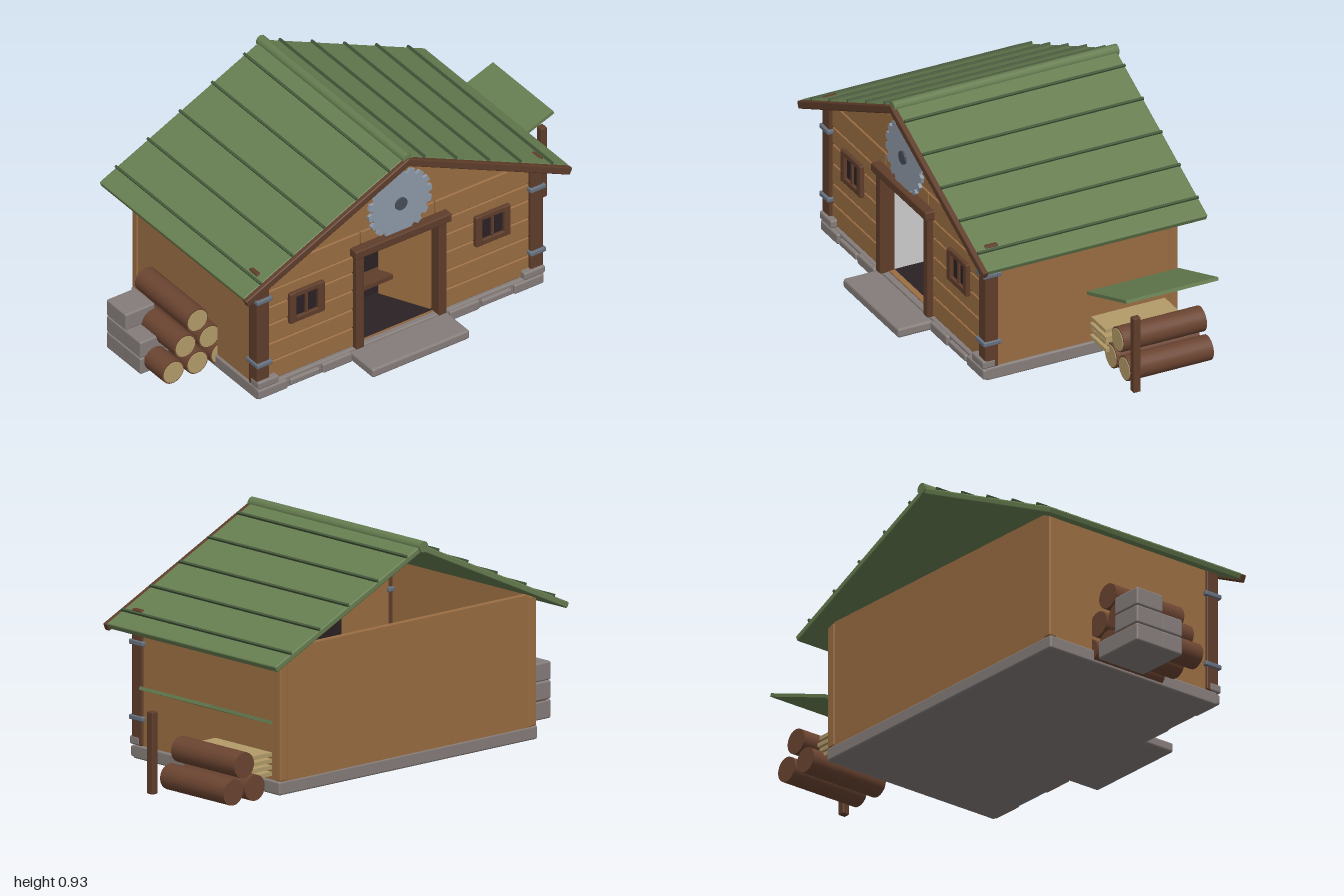
import * as THREE from 'three';
import { RoundedBoxGeometry } from 'three/addons/geometries/RoundedBoxGeometry.js';

const mat = (color) => new THREE.MeshStandardMaterial({ color, side: THREE.DoubleSide });
const M = {
  wall: mat(0x9a6d42), beam: mat(0x5f3d2a), roof: mat(0x667d50), batten: mat(0x45583a),
  stone: mat(0x857d7a), metal: mat(0x66707e), blade: mat(0x8e99a8), hub: mat(0x484c56),
  dark: mat(0x2b2124), bark: mat(0x6b4431), cut: mat(0xb39c69), pale: mat(0xcccccc),
};
const CX = -0.045; // centre line of the cabin

export function createModel() {
  const model = new THREE.Group();

  const add = (parent, name, geometry, material, x = 0, y = 0, z = 0) => {
    const mesh = new THREE.Mesh(geometry, material);
    mesh.name = name;
    mesh.position.set(x, y, z);
    parent.add(mesh);
    return mesh;
  };
  // Box given by its limits on each axis, optionally with rounded edges
  const span = (name, material, x0, x1, y0, y1, z0, z1, r = 0, parent = model) => {
    const s = [x1 - x0, y1 - y0, z1 - z0];
    const geo = r ? new RoundedBoxGeometry(...s, 2, r) : new THREE.BoxGeometry(...s);
    return add(parent, name, geo, material, (x0 + x1) / 2, (y0 + y1) / 2, (z0 + z1) / 2);
  };

  // Foundation, front stones and door step
  span('foundation', M.stone, -0.73, 0.64, 0, 0.055, -0.455, 0.39, 0.008);
  for (const s of [-1, 1]) {
    for (let i = 0; i < 3; i++) {
      const c = CX + s * (0.305 + i * 0.154);
      span('foundationStone', M.stone, c - 0.071, c + 0.071, i % 2 ? 0.012 : 0.006, i % 2 ? 0.042 : 0.05, 0.36, 0.404, 0.008);
    }
    const c = CX + s * 0.637;
    span('cornerStone', M.stone, c - 0.05, c + 0.05, 0.055, 0.09, 0.35, 0.407, 0.008);
  }
  span('doorStep', M.stone, -0.28, 0.185, 0.004, 0.045, 0.38, 0.54, 0.01);
  span('floor', M.dark, -0.7, 0.61, 0.05, 0.06, -0.43, 0.36);

  // Side and back walls
  for (const s of [-1, 1]) {
    const c = CX + s * 0.66;
    span('sideWall', M.wall, c - 0.015, c + 0.015, 0.05, 0.585, -0.45, 0.36);
    span('backCornerTrim', M.wall, c - 0.02, c + 0.02, 0.055, 0.58, -0.455, -0.42, 0.006);
  }
  span('backWall', M.wall, -0.7, 0.61, 0.05, 0.585, -0.452, -0.425);

  // Front wall with door opening and gable
  const front = new THREE.Shape([
    [-0.71, 0.05], [0.62, 0.05], [0.62, 0.58], [CX, 0.825], [-0.71, 0.58],
  ].map(([x, y]) => new THREE.Vector2(x, y)));
  front.holes.push(new THREE.Path([
    [-0.23, 0.06], [-0.23, 0.495], [0.14, 0.495], [0.14, 0.06],
  ].map(([x, y]) => new THREE.Vector2(x, y))));
  add(model, 'frontWall', new THREE.ExtrudeGeometry(front, { depth: 0.025, bevelEnabled: false }), M.wall, 0, 0, 0.34);

  // Horizontal siding beside and above the door
  const rows = [0.057, 0.147, 0.235, 0.325, 0.41, 0.487, 0.59];
  for (let i = 0; i < 6; i++) {
    const y0 = rows[i] + 0.002, y1 = rows[i + 1] - 0.002;
    const parts = i < 5 ? [[-0.69, -0.235], [0.145, 0.6]] : [[-0.69, -0.225], [-0.221, 0.131], [0.135, 0.6]];
    for (const [a, b] of parts) span('sidingPlank', M.wall, a, b, y0, y1, 0.352, 0.38, 0.005);
  }
  const gable = new THREE.Shape([[-0.66, 0.594], [0.57, 0.594], [CX, 0.832]].map(([x, y]) => new THREE.Vector2(x, y)));
  add(model, 'gable', new THREE.ExtrudeGeometry(gable, { depth: 0.018, bevelEnabled: false }), M.wall, 0, 0, 0.36);

  // Corner posts with metal bands
  for (const s of [-1, 1]) {
    const c = CX + s * 0.655;
    span('cornerPost', M.beam, c - 0.03, c + 0.03, 0.055, 0.6, 0.337, 0.395, 0.006);
    for (const y of [0.165, 0.467]) span('postBand', M.metal, c - 0.037, c + 0.037, y - 0.01, y + 0.01, 0.326, 0.406, 0.005);
  }

  // Door frame, dark entry, open door and shelf
  for (const s of [-1, 1]) {
    const c = CX + s * 0.198;
    span('doorJamb', M.beam, c - 0.019, c + 0.019, 0.055, 0.5, 0.34, 0.405, 0.005);
  }
  span('doorLintel', M.beam, -0.275, 0.185, 0.495, 0.533, 0.34, 0.42, 0.006);
  span('entryBack', M.dark, -0.23, 0.14, 0.06, 0.5, 0.13, 0.14);
  span('entrySide', M.pale, -0.236, -0.228, 0.06, 0.495, 0.14, 0.35);
  span('entryShelf', M.beam, -0.19, 0.045, 0.163, 0.182, 0.14, 0.22);
  const hinge = new THREE.Group();
  hinge.name = 'openDoor';
  hinge.position.set(0.132, 0, 0.355);
  hinge.rotation.y = -1.1;
  span('doorLeaf', M.wall, -0.23, 0, 0.065, 0.485, -0.01, 0.01, 0.004, hinge);
  model.add(hinge);

  // Windows: frame, two dark panes, centre bar
  for (const s of [-1, 1]) {
    const c = CX + s * 0.445;
    for (const t of [-1, 1]) {
      span('windowSide', M.beam, c + t * 0.068 - 0.015, c + t * 0.068 + 0.015, 0.3, 0.44, 0.37, 0.398, 0.004);
      span('windowRail', M.beam, c - 0.082, c + 0.082, 0.37 + t * 0.059 - 0.012, 0.37 + t * 0.059 + 0.012, 0.37, 0.396, 0.004);
    }
    span('windowPane', M.dark, c - 0.06, c + 0.06, 0.31, 0.43, 0.37, 0.383);
    span('windowBar', M.beam, c - 0.006, c + 0.006, 0.31, 0.43, 0.375, 0.392);
  }

  // Saw blade on the gable
  const teeth = 18, blade = new THREE.Shape();
  for (let i = 0; i < teeth; i++) {
    [[0, 0.134], [0.12, 0.152], [0.6, 0.152], [0.72, 0.134]].forEach(([f, r], k) => {
      const a = ((i + f) / teeth) * Math.PI * 2;
      blade[i + k ? 'lineTo' : 'moveTo'](Math.cos(a) * r, Math.sin(a) * r);
    });
  }
  blade.closePath();
  add(model, 'sawBlade', new THREE.ExtrudeGeometry(blade, { depth: 0.014, bevelEnabled: false }), M.blade, CX, 0.663, 0.383);
  add(model, 'sawHub', new THREE.CylinderGeometry(0.028, 0.028, 0.02, 16), M.hub, CX, 0.663, 0.395).rotation.x = Math.PI / 2;

  // Roof slopes with battens and front fascia boards
  const pitch = 0.435, run = 0.78 / Math.cos(pitch);
  for (const s of [-1, 1]) {
    const slope = new THREE.Group();
    slope.name = 'roofSlope';
    slope.position.set(CX, 0.91, 0);
    slope.rotation.z = -s * pitch;
    const put = (name, material, a, b, y0, y1, z0, z1, r) =>
      span(name, material, Math.min(s * a, s * b), Math.max(s * a, s * b), y0, y1, z0, z1, r, slope);
    put('roofPanel', M.roof, 0, run, -0.026, 0, -0.535, 0.437, 0.006);
    put('roofFascia', M.beam, 0, run + 0.004, -0.034, -0.002, 0.43, 0.456, 0.005);
    for (const d of [0.083, 0.237, 0.392, 0.545, 0.697]) {
      const u = d / Math.cos(pitch);
      put('roofBatten', M.batten, u - 0.005, u + 0.005, -0.002, 0.009, -0.535, 0.437);
    }
    model.add(slope);
  }
  add(model, 'ridgeCap', new THREE.CylinderGeometry(0.023, 0.023, 0.99, 10), M.roof, CX, 0.902, -0.048).rotation.x = Math.PI / 2;

  // Log piles with pale front ends
  const log = (x, y, z0, z1) => {
    add(model, 'log', new THREE.CylinderGeometry(0.052, 0.052, z1 - z0, 20), M.bark, x, y, (z0 + z1) / 2).rotation.x = Math.PI / 2;
    add(model, 'logEnd', new THREE.CylinderGeometry(0.046, 0.046, 0.006, 20), M.cut, x, y, z1).rotation.x = Math.PI / 2;
  };
  for (const [x, y] of [[0.77, 0.055], [0.885, 0.055], [0.827, 0.155]]) log(x, y, -0.455, -0.09);
  for (let row = 0; row < 3; row++) {
    for (let i = 0; i < 3 - row; i++) log(-0.93 + row * 0.058 + i * 0.115, 0.055 + row * 0.1, -0.236, 0.11);
  }

  // Stacked stone blocks by the left pile
  const blocks = [[0, -0.24], [0, -0.115], [1, -0.24], [1, -0.115], [2, -0.24]];
  for (const [row, z] of blocks) {
    span('stoneBlock', M.stone, -1, row ? -0.86 : -0.76, row * 0.077, row * 0.077 + 0.076, z, z + (z < -0.2 ? 0.132 : 0.105), 0.008);
  }

  // Sawn boards, lean-to roof and its post
  for (let i = 0; i < 4; i++) {
    const y = 0.07 + i * 0.026;
    span('sawnBoard', M.cut, 0.6, i % 2 ? 0.75 : 0.763, y, y + 0.016, -0.4, -0.07 - (i % 2) * 0.006);
  }
  const lean = add(model, 'leanToRoof', new THREE.BoxGeometry(0.352, 0.014, 0.405), M.roof, 0.833, 0.358, -0.24);
  lean.rotation.z = 0.355;
  span('leanToPost', M.beam, 0.963, 0.992, 0, 0.33, -0.105, -0.073, 0.004);

  return model;
}
